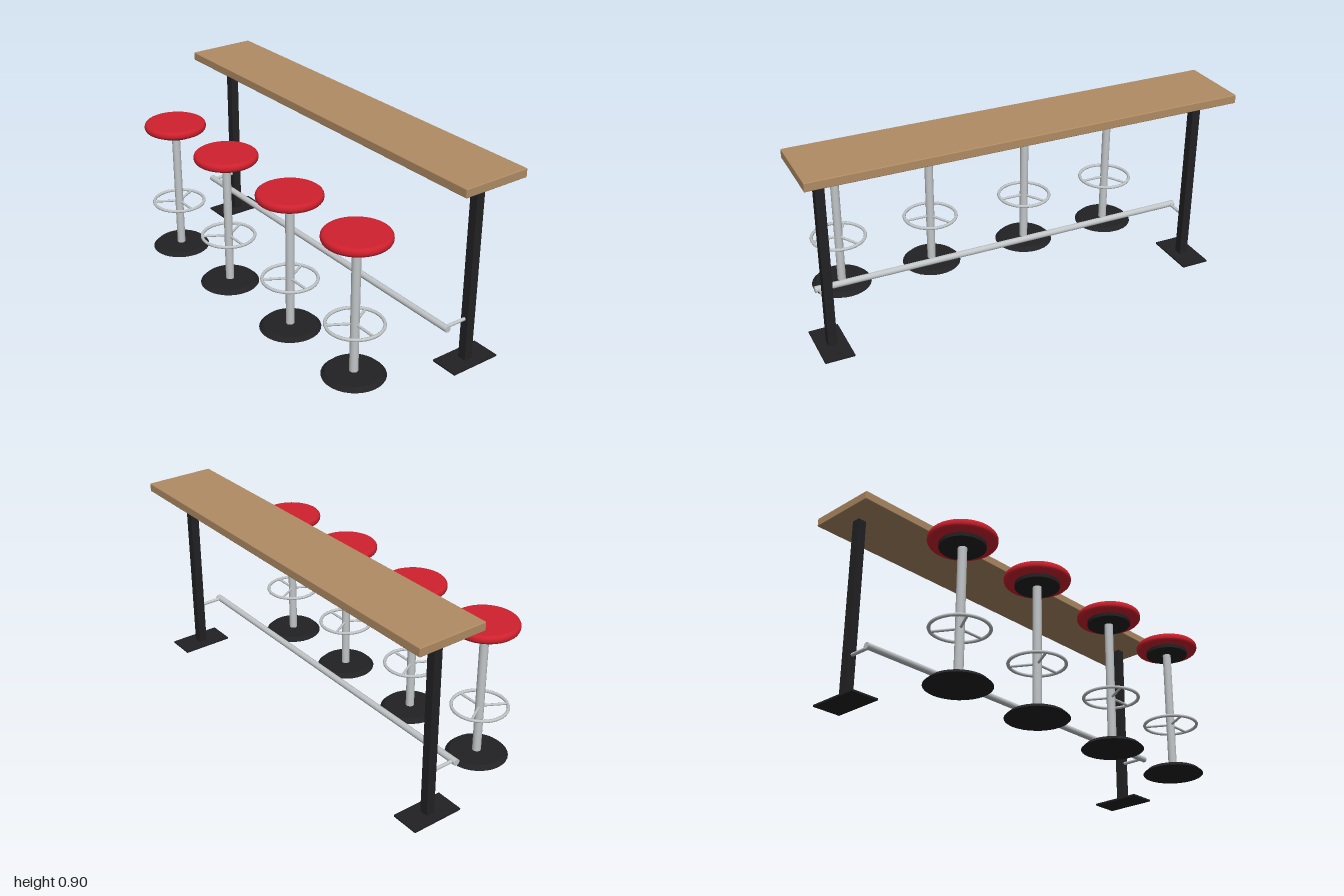
import * as THREE from 'three';
import { RoundedBoxGeometry } from 'three/addons/geometries/RoundedBoxGeometry.js';

function material(name, color) {
  const m = new THREE.MeshStandardMaterial({ color });
  m.name = name;
  return m;
}

const wood = material('wood', 0xb08c64);
const red = material('red vinyl', 0xcf202d);
const black = material('black metal', 0x222224);
const chrome = material('chrome', 0xc2c6c8);

function add(parent, name, geometry, mat, x = 0, y = 0, z = 0) {
  const mesh = new THREE.Mesh(geometry, mat);
  mesh.name = name;
  mesh.position.set(x, y, z);
  parent.add(mesh);
  return mesh;
}

// Disc cushion with a rounded rim
function cushionGeometry(radius, height, round) {
  const points = [new THREE.Vector2(0, 0)];
  for (const [cy, start] of [[round, -Math.PI / 2], [height - round, 0]]) {
    for (let i = 0; i <= 5; i++) {
      const a = start + (i / 5) * Math.PI / 2;
      points.push(new THREE.Vector2(radius - round + Math.cos(a) * round, cy + Math.sin(a) * round));
    }
  }
  points.push(new THREE.Vector2(0, height));
  return new THREE.LatheGeometry(points, 40);
}

function createStool() {
  const stool = new THREE.Group();
  stool.name = 'stool';
  add(stool, 'base', new THREE.CylinderGeometry(0.122, 0.141, 0.018, 32), black, 0, 0.011);
  add(stool, 'post', new THREE.CylinderGeometry(0.02, 0.02, 0.605, 16), chrome, 0, 0.3225);
  add(stool, 'seatPlate', new THREE.CylinderGeometry(0.1, 0.1, 0.018, 32), black, 0, 0.632);
  add(stool, 'seat', cushionGeometry(0.149, 0.04, 0.0175), red, 0, 0.64);

  // Foot ring carried by three spokes
  const ring = add(stool, 'footRing', new THREE.TorusGeometry(0.125, 0.0075, 8, 40), chrome, 0, 0.252);
  ring.rotation.x = Math.PI / 2;
  for (let i = 0; i < 3; i++) {
    const a = (i / 3) * Math.PI * 2;
    const spoke = add(stool, 'footRingSpoke', new THREE.CylinderGeometry(0.006, 0.006, 0.11, 8), chrome,
      Math.cos(a) * 0.07, 0.252, Math.sin(a) * 0.07);
    spoke.rotation.set(0, -a, Math.PI / 2);
  }
  return stool;
}

function createCounter() {
  const counter = new THREE.Group();
  counter.name = 'counter';
  add(counter, 'counterTop', new RoundedBoxGeometry(2, 0.04, 0.332, 2, 0.004), wood, 0, 0.877, -0.221);

  // Leg, floor plate and rail bracket at each end
  for (const side of [-1, 1]) {
    const x = side * 0.9;
    add(counter, 'leg', new THREE.BoxGeometry(0.04, 0.85, 0.041), black, x, 0.433, -0.219);
    add(counter, 'floorPlate', new THREE.BoxGeometry(0.134, 0.008, 0.248), black, x, 0.004, -0.219);
    const bracket = add(counter, 'railBracket', new THREE.CylinderGeometry(0.008, 0.008, 0.118, 12), chrome, x, 0.21, -0.145);
    bracket.rotation.x = Math.PI / 2;
  }

  const rail = add(counter, 'footRail', new THREE.CylinderGeometry(0.015, 0.015, 1.84, 16), chrome, 0, 0.21, -0.086);
  rail.rotation.z = Math.PI / 2;
  return counter;
}

export function createModel() {
  const model = new THREE.Group();
  model.name = 'barCounterWithStools';
  model.add(createCounter());
  for (const x of [-0.712, -0.254, 0.246, 0.705]) {
    const stool = createStool();
    stool.position.set(x, 0, 0.239);
    model.add(stool);
  }
  return model;
}
